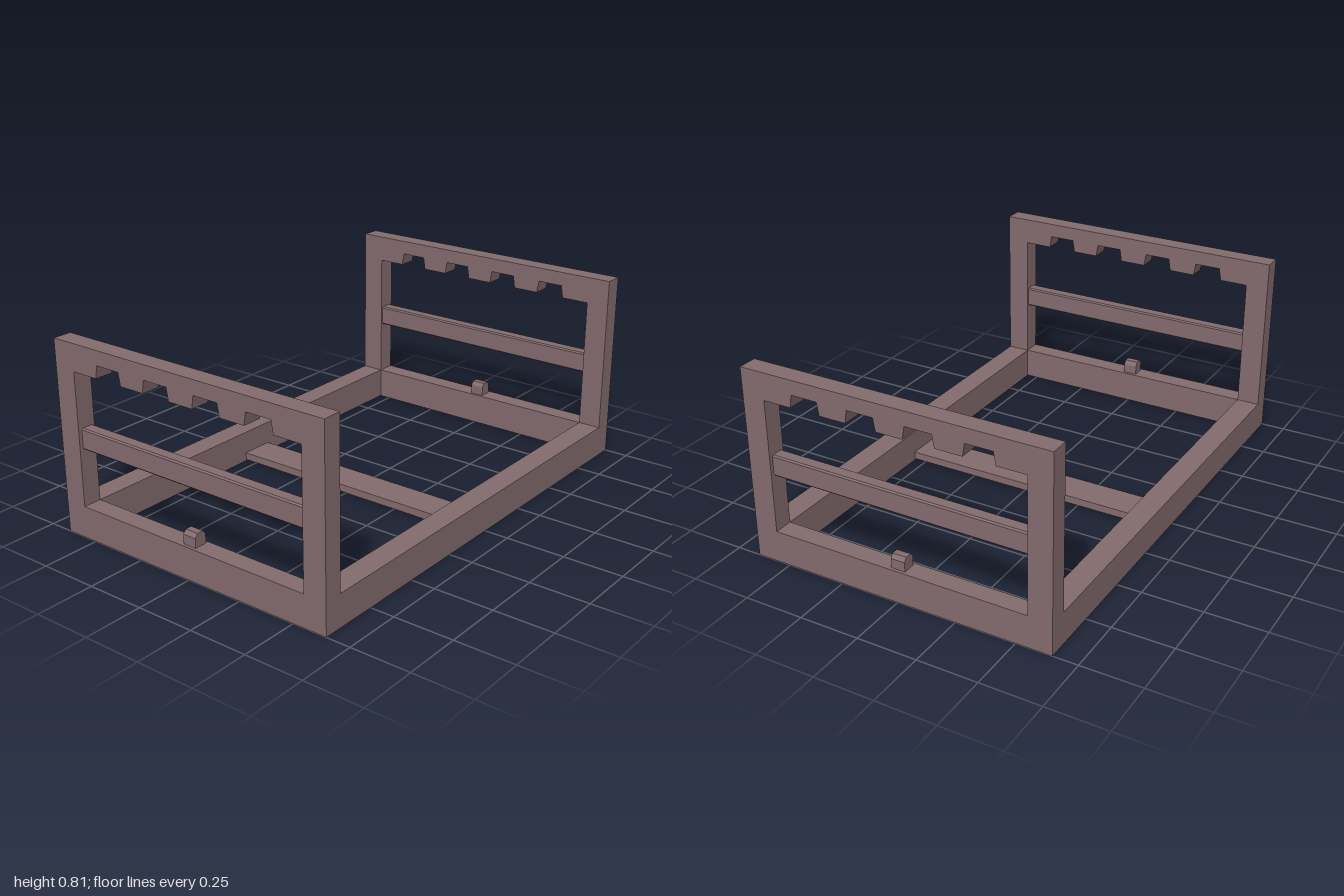
import * as THREE from 'three';

const HALF_Z = 0.648, INNER_Z = 0.55, RAIL_H = 0.135, END_T = 0.08, END_X = 0.96;

export function createModel() {
  const model = new THREE.Group();
  model.name = 'bedFrame';
  const wood = new THREE.MeshStandardMaterial({ color: 0x846c6e, flatShading: true });

  const add = (parent, name, geometry, x = 0, y = 0, z = 0) => {
    const mesh = new THREE.Mesh(geometry, wood);
    mesh.name = name;
    mesh.position.set(x, y, z);
    parent.add(mesh);
    return mesh;
  };
  const toShape = (pts) => new THREE.Shape(pts.map(([x, y]) => new THREE.Vector2(x, y)));
  const extrude = (shape, depth) =>
    new THREE.ExtrudeGeometry(shape, { depth, bevelEnabled: false }).translate(0, 0, -depth / 2);

  // End frame outline in z-y, with a notched edge along the top of its opening
  const outline = toShape([[-HALF_Z, 0], [HALF_Z, 0], [HALF_Z, 0.805], [-HALF_Z, 0.805]]);
  const opening = [[-INNER_Z, RAIL_H], [-INNER_Z, 0.692]];
  for (let i = 0; i < 4; i++) {
    const c = (i - 1.5) * 0.243;
    opening.push([c - 0.065, 0.692], [c - 0.056, 0.745], [c + 0.056, 0.745], [c + 0.065, 0.692]);
  }
  opening.push([INNER_Z, 0.692], [INNER_Z, RAIL_H]);
  outline.holes.push(toShape(opening));
  const endGeometry = extrude(outline, END_T).rotateY(-Math.PI / 2);

  // Crossbar section with small chamfers, and peg section with a chamfered top
  const w = 0.028, h = 0.044, c = 0.006;
  const barGeometry = extrude(toShape([
    [-w + c, -h], [w - c, -h], [w, -h + c], [w, h - c],
    [w - c, h], [-w + c, h], [-w, h - c], [-w, -h + c],
  ]), INNER_Z * 2);
  const pegGeometry = extrude(toShape([
    [-0.027, 0], [0.027, 0], [0.027, 0.04], [0.014, 0.056], [-0.014, 0.056], [-0.027, 0.04],
  ]), 0.06);

  for (const side of [1, -1]) {
    const end = new THREE.Group();
    end.name = side > 0 ? 'leftEnd' : 'rightEnd';
    model.add(end);
    add(end, 'endFrame', endGeometry, side * END_X);
    add(end, 'crossbar', barGeometry, side * 0.956, 0.414);
    add(end, 'peg', pegGeometry, side * END_X, RAIL_H);
  }

  // Long rails between the end frames
  const railD = HALF_Z - INNER_Z;
  const railGeometry = new THREE.BoxGeometry(2 * END_X - END_T, RAIL_H, railD);
  for (const side of [1, -1]) {
    add(model, side > 0 ? 'frontRail' : 'backRail', railGeometry,
      0, RAIL_H / 2, side * (HALF_Z - railD / 2));
  }

  // Flat slat joining the rails at the bottom
  add(model, 'centreSlat', new THREE.BoxGeometry(0.145, 0.032, INNER_Z * 2), 0, 0.022, 0);

  return model;
}
